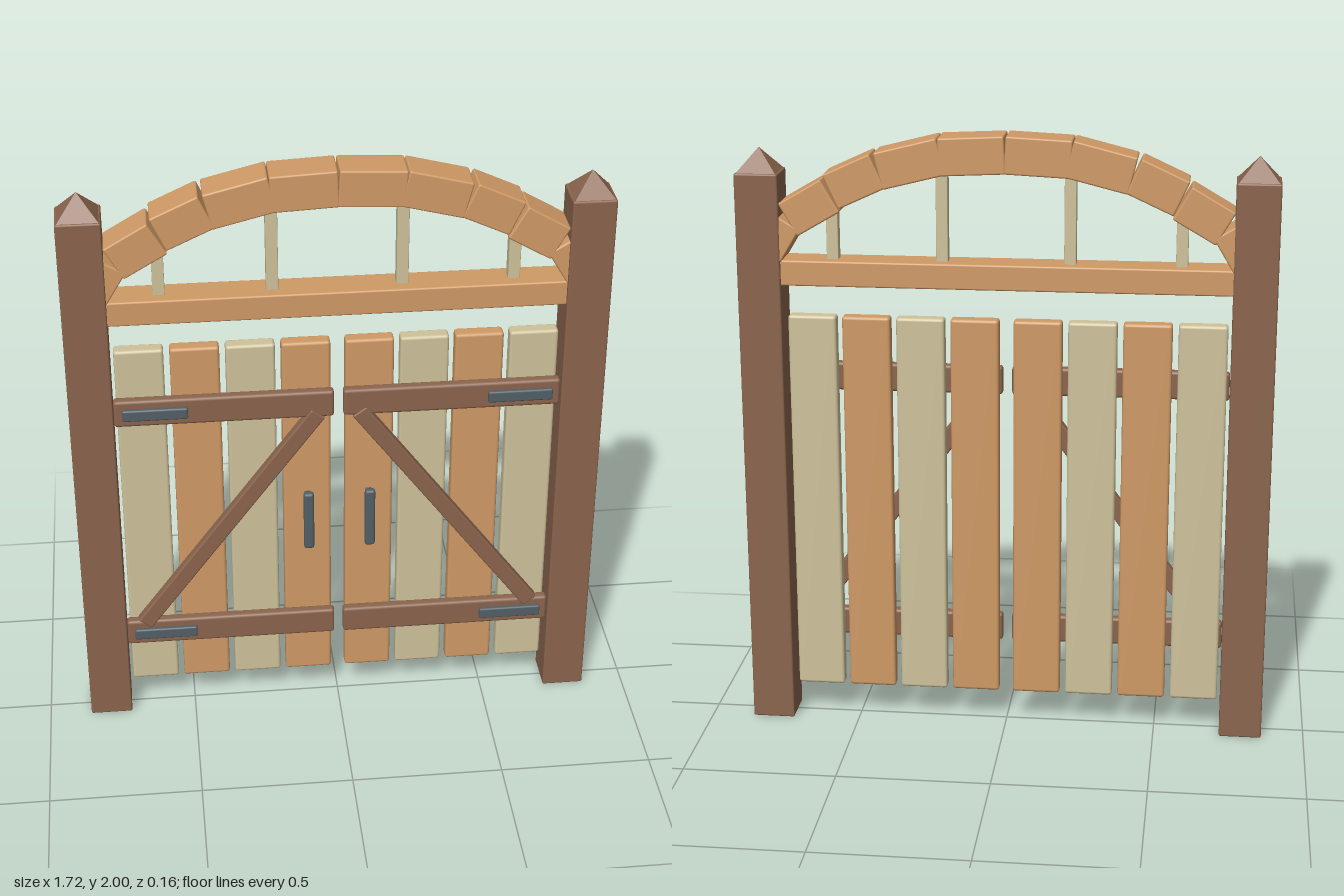
import * as THREE from 'three';
import { RoundedBoxGeometry } from 'three/addons/geometries/RoundedBoxGeometry.js';

const material = (name, color) => {
  const m = new THREE.MeshStandardMaterial({ color });
  m.name = name;
  return m;
};

export function createModel() {
  const gate = new THREE.Group();
  gate.name = 'gardenGate';
  const darkWood = material('darkWood', 0x8b654d);
  const warmWood = material('warmWood', 0xd09a66);
  const paleWood = material('paleWood', 0xcfc39c);
  const iron = material('iron', 0x535f67);

  // Softly bevelled box given by its centre and size
  const box = (name, mat, [x, y, z], [w, h, d], angle = 0, bevel = 0.006) => {
    const mesh = new THREE.Mesh(new RoundedBoxGeometry(w, h, d, 2, bevel), mat);
    mesh.name = name;
    mesh.position.set(x, y, z);
    mesh.rotation.z = angle;
    gate.add(mesh);
    return mesh;
  };

  // Lintel between the posts
  box('lintel', warmWood, [0, 1.548, -0.008], [1.45, 0.083, 0.115]);

  // Half of the arch: outer edge start and end of each block, from crown to post
  const archEdges = [
    [0.003, 2.0, 0.212, 1.99],
    [0.216, 1.99, 0.415, 1.94],
    [0.428, 1.937, 0.578, 1.868],
    [0.585, 1.853, 0.722, 1.773],
    [0.757, 1.752, 0.822, 1.644],
  ];
  const archThickness = 0.12;

  for (const side of [-1, 1]) {
    // Post with pyramid cap
    box('post', darkWood, [side * 0.79, 0.934, -0.007], [0.14, 1.868, 0.14]);
    const cap = new THREE.Mesh(
      new THREE.ConeGeometry(0.066 * Math.SQRT2, 0.078, 4, 1).rotateY(Math.PI / 4).toNonIndexed(), darkWood);
    cap.geometry.computeVertexNormals();
    cap.name = 'postCap';
    cap.position.set(side * 0.79, 1.904, -0.007);
    gate.add(cap);

    // Arch blocks hang below their outer edges
    for (const [x0, y0, x1, y1] of archEdges) {
      const dx = x1 - x0, dy = y1 - y0, length = Math.hypot(dx, dy);
      const cx = (x0 + x1) / 2 + (dy / length) * archThickness / 2;
      const cy = (y0 + y1) / 2 - (dx / length) * archThickness / 2;
      box('archBlock', warmWood, [side * cx, cy, -0.01], [length, archThickness, 0.124],
        side * Math.atan2(dy, dx));
    }

    // Spindles between lintel and arch
    box('spindle', paleWood, [side * 0.204, 1.735, -0.01], [0.038, 0.31, 0.038], 0, 0.003);
    box('spindle', paleWood, [side * 0.557, 1.675, -0.01], [0.038, 0.19, 0.038], 0, 0.003);

    // Door planks in alternating woods
    for (let i = 0; i < 4; i++) {
      box('plank', i % 2 ? paleWood : warmWood, [side * (0.102 + i * 0.1762), 0.755, -0.005],
        [0.157, 1.29, 0.05], 0, 0.01);
    }

    // Battens with hinge straps
    for (const y of [0.325, 1.188]) {
      box('batten', darkWood, [side * 0.367, y, 0.032], [0.704, 0.094, 0.036], 0, 0.01);
      box('hingeStrap', iron, [side * 0.588, y, 0.055], [0.21, 0.04, 0.018]);
    }

    // Diagonal brace
    const run = 0.592, rise = 0.795;
    box('brace', darkWood, [side * 0.362, 0.757, 0.035], [Math.hypot(run, rise), 0.055, 0.036],
      side * Math.atan2(-rise, run));

    // Pull handle on two short mounts
    box('handle', iron, [side * 0.101, 0.757, 0.066], [0.034, 0.215, 0.026], 0, 0.009);
    for (const y of [0.685, 0.83]) {
      box('handleMount', iron, [side * 0.101, y, 0.04], [0.02, 0.025, 0.045], 0, 0.003);
    }
  }
  return gate;
}
